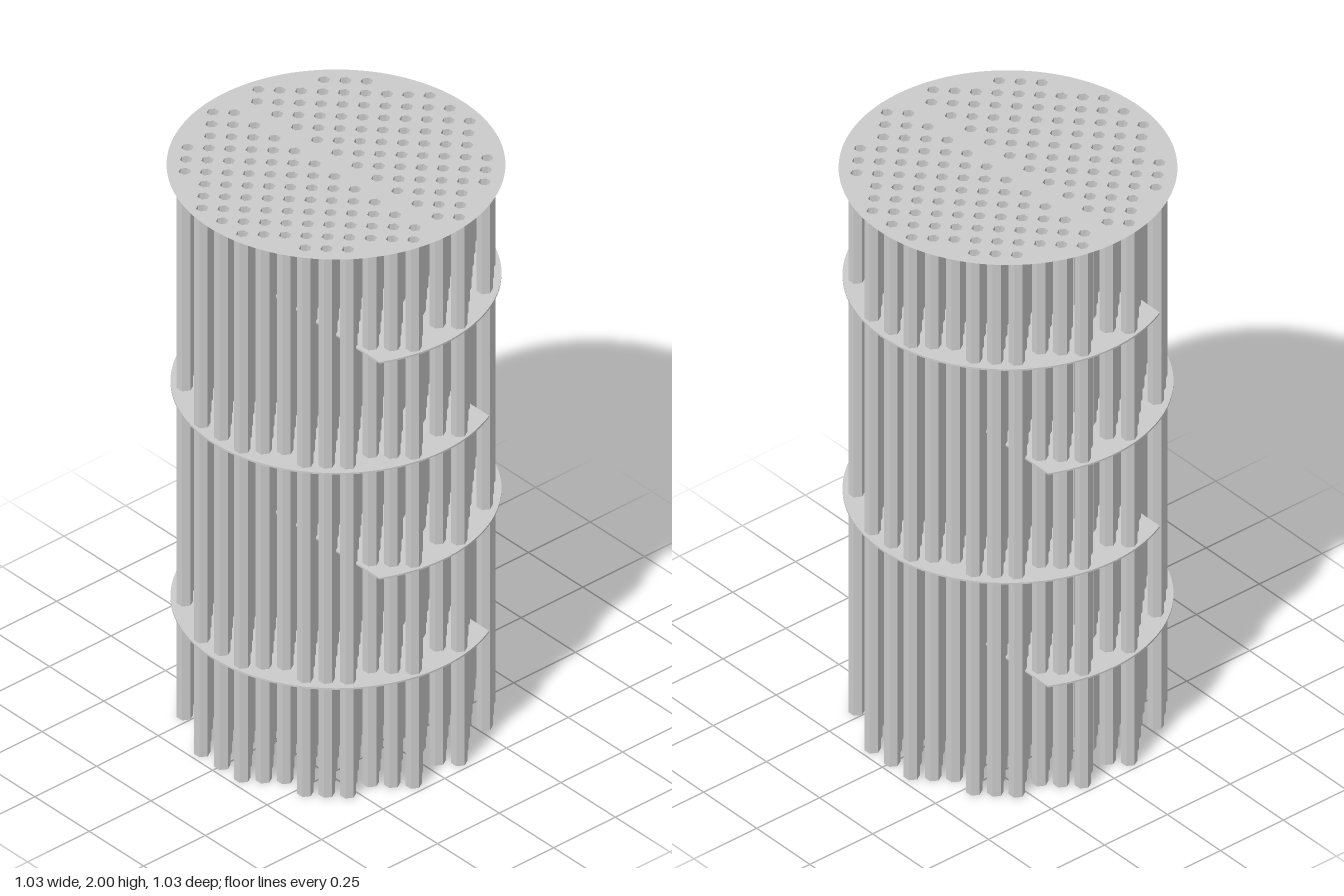
import * as THREE from 'three';

const HEIGHT = 2, STEP = 0.0461;          // tube length, half of the tube pitch
const R_OUT = 0.0255, R_IN = 0.0195;      // six-sided tube radii
const PLATE_R = 0.515, BAFFLE_R = 0.503, CUT = 0.222, BAFFLE_T = 0.006;

// Tubes per row, from the row nearest the middle outwards
const ROWS = [10, 11, 10, 9, 8, 9, 8, 7, 4, 3];

function tubeCentres() {
  const centres = [];
  ROWS.forEach((count, i) => {
    for (const side of [-1, 1])
      for (let k = 0; k < count; k++)
        centres.push(new THREE.Vector2((2 * k - count + 1) * STEP, side * (i + 1) * STEP));
  });
  return centres;
}

// Six-sided hole that fits round a tube
function hexHole(c) {
  const points = [];
  for (let i = 0; i < 6; i++) {
    const a = -i * Math.PI / 3;
    points.push(new THREE.Vector2(c.x + R_OUT * Math.cos(a), c.y + R_OUT * Math.sin(a)));
  }
  return new THREE.Path(points);
}

// Round plate with a straight cut; the cut is notched where it meets a row of tubes
function baffleGeometry(centres) {
  const a = Math.asin(CUT / BAFFLE_R);
  const shape = new THREE.Shape();
  shape.absarc(0, 0, BAFFLE_R, a, Math.PI - a, true);
  const rowZ = 5 * STEP, floor = rowZ - R_OUT * Math.sqrt(3) / 2;
  const half = R_OUT / 2, wide = half + (CUT - floor) / Math.sqrt(3);
  for (let k = 0; k < ROWS[4]; k++) {
    const x = (2 * k - ROWS[4] + 1) * STEP;
    shape.lineTo(x - wide, CUT);
    shape.lineTo(x - half, floor);
    shape.lineTo(x + half, floor);
    shape.lineTo(x + wide, CUT);
  }
  shape.closePath();
  shape.holes = centres.filter(c => c.y < rowZ - 0.01).map(hexHole);
  const geometry = new THREE.ExtrudeGeometry(shape, { depth: BAFFLE_T, bevelEnabled: false, curveSegments: 64 });
  return geometry.rotateX(Math.PI / 2);
}

export function createModel() {
  const model = new THREE.Group();
  model.name = 'tubeBundle';
  const flat = new THREE.MeshStandardMaterial({ color: 0xcccccc, flatShading: true });
  const thin = new THREE.MeshStandardMaterial({ color: 0xcccccc, side: THREE.DoubleSide });
  const centres = tubeCentres();

  // Hollow six-sided tubes
  const profile = [[R_IN, 0], [R_OUT, 0], [R_OUT, HEIGHT], [R_IN, HEIGHT], [R_IN, 0]]
    .map(([x, y]) => new THREE.Vector2(x, y));
  const tubeGeometry = new THREE.LatheGeometry(profile, 6, Math.PI / 2);
  const tubes = new THREE.Group();
  tubes.name = 'tubes';
  for (const c of centres) {
    const tube = new THREE.Mesh(tubeGeometry, flat);
    tube.name = 'tube';
    tube.position.set(c.x, 0, c.y);
    tubes.add(tube);
  }
  model.add(tubes);

  // Thin tube sheet across the top
  const disc = new THREE.Shape();
  disc.absarc(0, 0, PLATE_R, 0, Math.PI * 2);
  disc.holes = centres.map(hexHole);
  const sheet = new THREE.Mesh(new THREE.ShapeGeometry(disc, 96).rotateX(-Math.PI / 2), thin);
  sheet.name = 'topTubeSheet';
  sheet.position.y = HEIGHT;
  model.add(sheet);

  // Baffles, cut alternately at the back and the front
  const geometry = baffleGeometry(centres);
  [0.418, 0.811, 1.208, 1.604].forEach((y, i) => {
    const baffle = new THREE.Mesh(geometry, flat);
    baffle.name = i % 2 ? 'backBaffle' : 'frontBaffle';
    baffle.position.y = y;
    baffle.rotation.y = i % 2 ? 0 : Math.PI;
    model.add(baffle);
  });

  return model;
}
